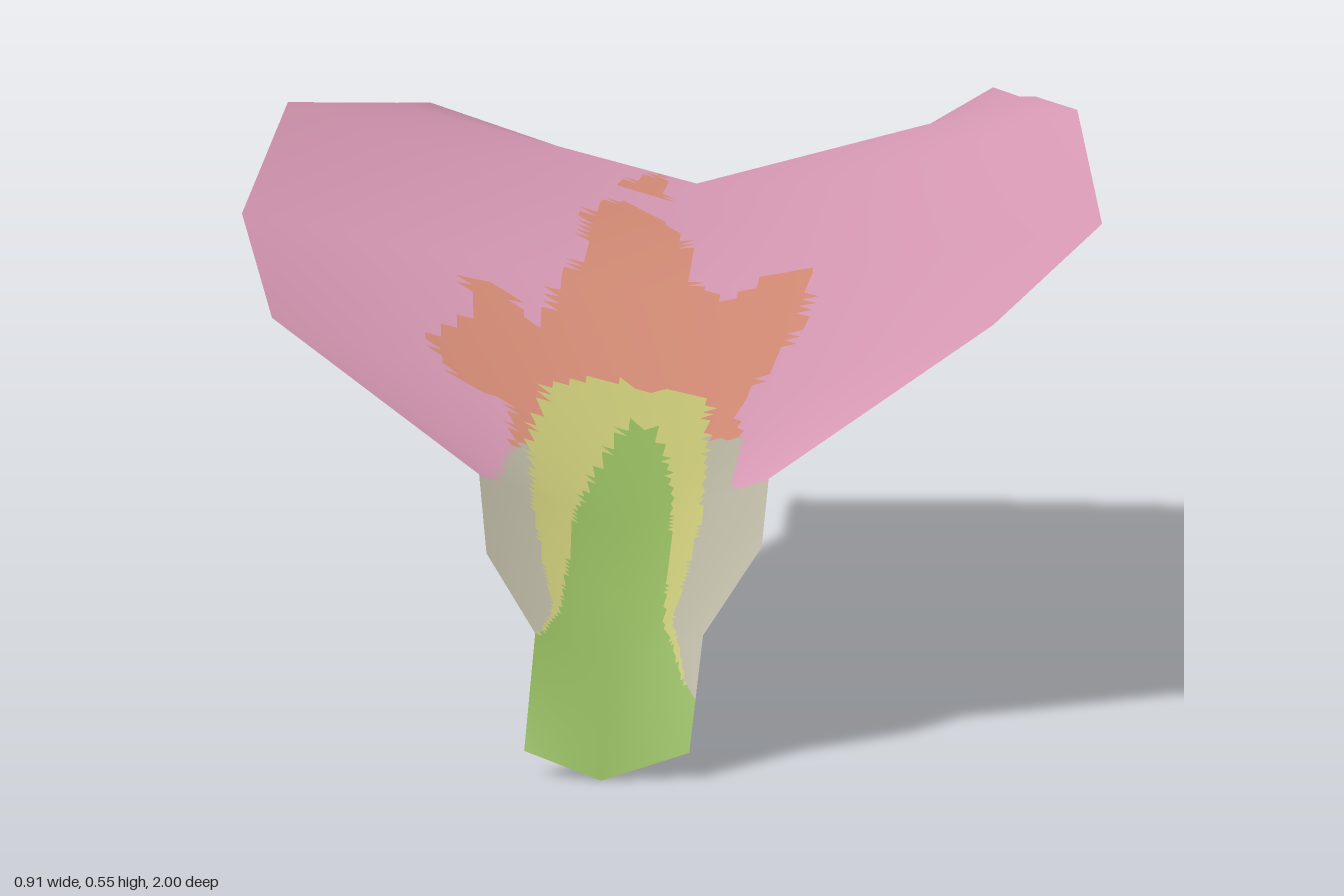
import * as THREE from 'three';

// Cross-sections from stem to tip: right edge, midrib, left edge
const sections = [
  [[-0.08, 0.025, 0.96], [0.005, 0, 1], [0.095, 0.025, 0.96]],
  [[-0.08, 0.13, 0.82], [0.005, 0.1, 0.82], [0.098, 0.13, 0.82]],
  [[-0.14, 0.2, 0.72], [0, 0.155, 0.71], [0.15, 0.207, 0.7]],
  [[-0.157, 0.268, 0.61], [0, 0.21, 0.6], [0.15, 0.267, 0.61]],
  [[-0.395, 0.4, 0.39], [0, 0.285, 0.39], [0.37, 0.402, 0.39]],
  [[-0.457, 0.458, 0.03], [-0.005, 0.375, 0.03], [0.455, 0.458, 0.03]],
  [[-0.425, 0.548, -0.17], [-0.01, 0.412, -0.2], [0.412, 0.55, -0.17]],
  [[-0.337, 0.5, -0.5], [-0.015, 0.425, -0.45], [0.34, 0.515, -0.5]],
  [[-0.31, 0.486, -0.6], [-0.017, 0.385, -0.62], [0.315, 0.5, -0.6]],
  [[-0.25, 0.39, -0.82], [-0.02, 0.31, -0.77], [0.27, 0.48, -0.8]],
  [[-0.12, 0.21, -0.98], [-0.015, 0.205, -0.9], [0.17, 0.34, -0.91]],
  [[-0.065, 0.16, -0.99], [-0.01, 0.11, -1], [0.06, 0.21, -0.98]],
];

// Coloured zones as outlines in plan (x, z); the first match wins
const zones = [
  ['stemCore', [[-0.2, 1.1], [-0.2, 0.82], [-0.075, 0.82], [-0.058, 0.77], [-0.055, 0.6], [-0.03, 0.42],
    [-0.01, 0.38], [0.012, 0.39], [0.045, 0.55], [0.053, 0.78], [0.08, 0.87], [0.12, 0.94], [0.2, 1.1]]],
  ['stemHalo', [[-0.08, 0.83], [-0.065, 0.77], [-0.1, 0.62], [-0.115, 0.48], [-0.105, 0.34], [-0.07, 0.3],
    [-0.035, 0.28], [0.03, 0.3], [0.065, 0.35], [0.075, 0.5], [0.08, 0.63], [0.062, 0.78], [0.09, 0.9]]],
  ['baseMargin', [[-0.2, 0.96], [-0.2, 0.62], [-0.14, 0.61], [-0.13, 0.51], [-0.1, 0.45],
    [0.07, 0.45], [0.11, 0.48], [0.11, 0.6], [0.2, 0.63], [0.2, 0.96]]],
  ['blush', [[-0.13, 0.51], [-0.14, 0.42], [-0.2, 0.4], [-0.24, 0.3], [-0.2, 0.2], [-0.215, 0.09], [-0.17, 0.1],
    [-0.13, 0.2], [-0.12, 0.05], [-0.1, -0.05], [-0.11, -0.15], [-0.08, -0.25], [-0.03, -0.22], [0, -0.15],
    [0.02, 0], [0.06, 0.08], [0.1, 0.02], [0.15, 0.02], [0.15, 0.2], [0.13, 0.3], [0.1, 0.4], [0.11, 0.48], [0, 0.5]]],
  ['blush', [[-0.09, -0.33], [-0.035, -0.33], [-0.05, -0.46], [-0.07, -0.42]]],
];

const materials = {
  blade: ['petal pink', 0xd698b3],
  blush: ['blush orange', 0xd38b75],
  stemHalo: ['pale yellow green', 0xc3c274],
  baseMargin: ['grey beige', 0xb4b09d],
  stemCore: ['stem green', 0x8fb35b],
};

// Even-odd test of a plan point against an outline
function inside(x, z, outline) {
  let hit = false;
  outline.forEach(([ax, az], i) => {
    const [bx, bz] = outline[(i + 1) % outline.length];
    if ((az > z) !== (bz > z) && x < ax + ((z - az) / (bz - az)) * (bx - ax)) hit = !hit;
  });
  return hit;
}

// Coarse surface, used for its smooth normals
function coarseSurface() {
  const index = [];
  for (let r = 0; r < sections.length - 1; r++) {
    for (let c = 0; c < 2; c++) {
      const a = r * 3 + c;
      index.push(a, a + 1, a + 3, a + 1, a + 4, a + 3);
    }
  }
  const g = new THREE.BufferGeometry();
  g.setAttribute('position', new THREE.Float32BufferAttribute(sections.flat(2), 3));
  g.setIndex(index);
  g.computeVertexNormals();
  return g;
}

export function createModel() {
  const group = new THREE.Group();
  group.name = 'petal';
  const coarse = coarseSurface();
  const COLS = 24, ROWS = 18;

  // Blend a coarse attribute between the four corners of its cell
  const v = [0, 1, 2, 3].map(() => new THREE.Vector3());
  const sample = (attribute, r, c, t, s) => {
    const a = r * 3 + c;
    [a, a + 1, a + 3, a + 4].forEach((n, i) => v[i].fromBufferAttribute(attribute, n));
    return v[0].lerp(v[1], s).lerp(v[2].lerp(v[3], s), t).clone();
  };

  // Fine grid over the surface
  const width = 2 * COLS + 1, height = (sections.length - 1) * ROWS + 1;
  const points = [], normals = [];
  for (let j = 0; j < height; j++) {
    const r = Math.min(Math.floor(j / ROWS), sections.length - 2);
    for (let i = 0; i < width; i++) {
      const c = Math.min(Math.floor(i / COLS), 1);
      const t = j / ROWS - r, s = i / COLS - c;
      points.push(sample(coarse.attributes.position, r, c, t, s));
      normals.push(sample(coarse.attributes.normal, r, c, t, s).normalize());
    }
  }

  // Sort the triangles into colour zones
  const indices = Object.fromEntries(Object.keys(materials).map((k) => [k, []]));
  const addTriangle = (...tri) => {
    const x = tri.reduce((sum, n) => sum + points[n].x, 0) / 3;
    const z = tri.reduce((sum, n) => sum + points[n].z, 0) / 3;
    const zone = zones.find(([, outline]) => inside(x, z, outline));
    indices[zone ? zone[0] : 'blade'].push(...tri);
  };
  for (let j = 0; j < height - 1; j++) {
    for (let i = 0; i < width - 1; i++) {
      const a = j * width + i;
      addTriangle(a, a + 1, a + width);
      addTriangle(a + 1, a + width + 1, a + width);
    }
  }

  // One mesh per zone, sharing the same surface
  const flat = (list) => new THREE.Float32BufferAttribute(list.flatMap((p) => [p.x, p.y, p.z]), 3);
  const position = flat(points), normal = flat(normals);
  for (const [name, [label, color]] of Object.entries(materials)) {
    const g = new THREE.BufferGeometry();
    g.setAttribute('position', position);
    g.setAttribute('normal', normal);
    g.setIndex(indices[name]);
    const material = new THREE.MeshStandardMaterial({ color, side: THREE.DoubleSide });
    material.name = label;
    const mesh = new THREE.Mesh(g, material);
    mesh.name = name;
    group.add(mesh);
  }
  return group;
}
